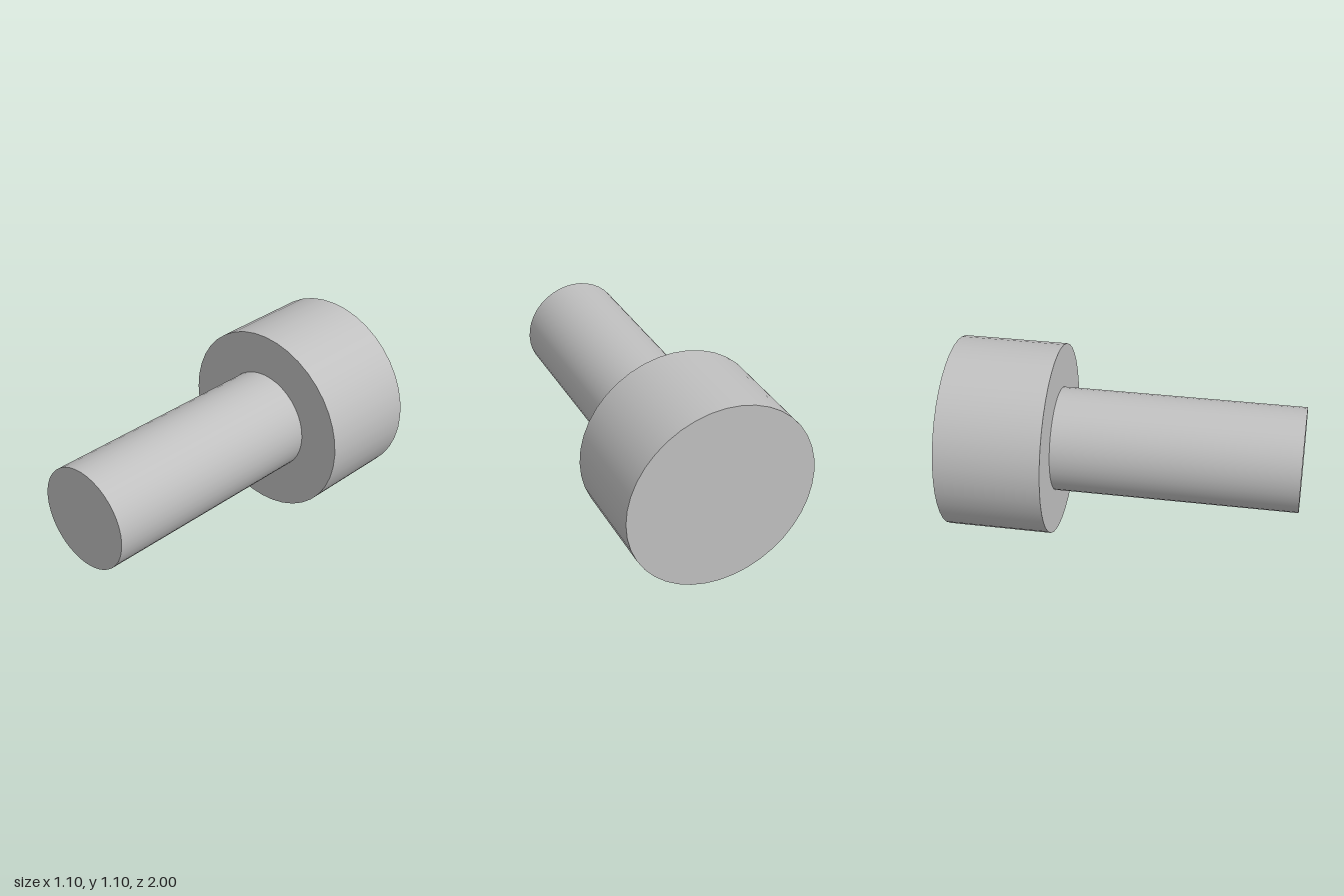
import * as THREE from 'three';

const SEGMENTS = 40;
const AXIS_HEIGHT = 0.55;

export function createModel() {
  const group = new THREE.Group();
  group.name = 'bolt';

  const steel = new THREE.MeshStandardMaterial({ color: 0xc0c0c0 });
  steel.name = 'steel grey';

  // Capped cylinder lying along z between two z positions
  const addCylinder = (name, radius, zBack, zFront) => {
    const geometry = new THREE.CylinderGeometry(radius, radius, zFront - zBack, SEGMENTS);
    geometry.rotateX(Math.PI / 2);
    const mesh = new THREE.Mesh(geometry, steel);
    mesh.name = name;
    mesh.position.set(0, AXIS_HEIGHT, (zBack + zFront) / 2);
    group.add(mesh);
  };

  // Wide head at the back, plain shank reaching forward
  addCylinder('head', 0.55, -1, -0.4);
  addCylinder('shank', 0.3, -0.4, 1);

  return group;
}
